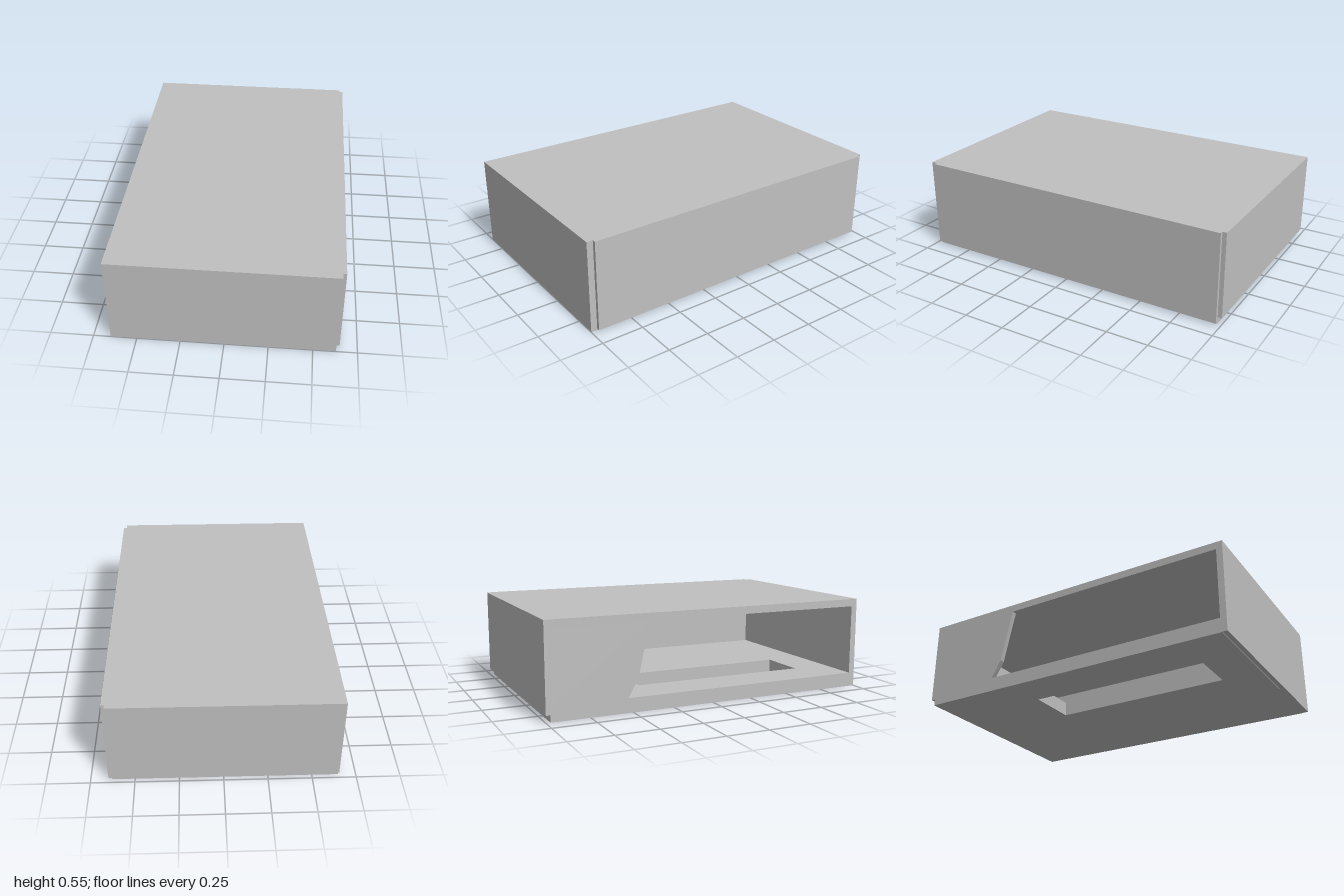
import * as THREE from 'three';

// Hollow panelled casing, open on its -x side, with a slot through the floor
export function createModel() {
  const model = new THREE.Group();
  model.name = 'casing';
  const grey = new THREE.MeshStandardMaterial({ color: 0xc0c0c0 });
  grey.name = 'grey';

  const add = (name, geometry) => {
    const mesh = new THREE.Mesh(geometry, grey);
    mesh.name = name;
    model.add(mesh);
    return mesh;
  };
  // Box given by its minimum and maximum corners
  const slab = (name, [x0, y0, z0], [x1, y1, z1]) =>
    add(name, new THREE.BoxGeometry(x1 - x0, y1 - y0, z1 - z0)
      .translate((x0 + x1) / 2, (y0 + y1) / 2, (z0 + z1) / 2));
  const outline = (points) => points.map(([a, b]) => new THREE.Vector2(a, b));

  // Floor with a rectangular slot (shape y becomes -z)
  const floor = new THREE.Shape(outline([[-0.65, -0.97], [0.63, -0.97], [0.63, 0.975], [-0.65, 0.975]]));
  floor.holes.push(new THREE.Path(outline([[-0.4, -0.73], [-0.4, 0.36], [-0.1, 0.36], [-0.1, -0.73]])));
  add('floor', new THREE.ExtrudeGeometry(floor, { depth: 0.085, bevelEnabled: false }).rotateX(-Math.PI / 2));

  // Roof, notched at both +x corners
  const roof = new THREE.Shape(outline([
    [-0.65, -0.965], [0.63, -0.965], [0.63, -0.96], [0.63, 0.975], [-0.65, 0.975],
  ]));
  add('roof', new THREE.ExtrudeGeometry(roof, { depth: 0.045, bevelEnabled: false })
    .rotateX(-Math.PI / 2).translate(0, 0.505, 0));

  // Outer walls
  slab('frontWall', [-0.65, 0.002, 0.963], [0.63, 0.55, 1]);
  slab('backWall', [-0.65, 0.04, -1], [0.63, 0.55, -0.965]);
  slab('leftWall', [0.61, 0.01, -0.975], [0.65, 0.55, 0.963]);

  // Partial panel closing the rear of the open side, with a slanted edge
  const panel = new THREE.Shape(outline([
    [-0.97, 0.085], [-0.53, 0.085], [-0.47, 0.19], [-0.4, 0.505], [-0.97, 0.505],
  ]));
  add('rearSidePanel', new THREE.ExtrudeGeometry(panel, { depth: 0.03, bevelEnabled: false })
    .rotateY(-Math.PI / 2).translate(-0.62, 0, 0));

  return model;
}
